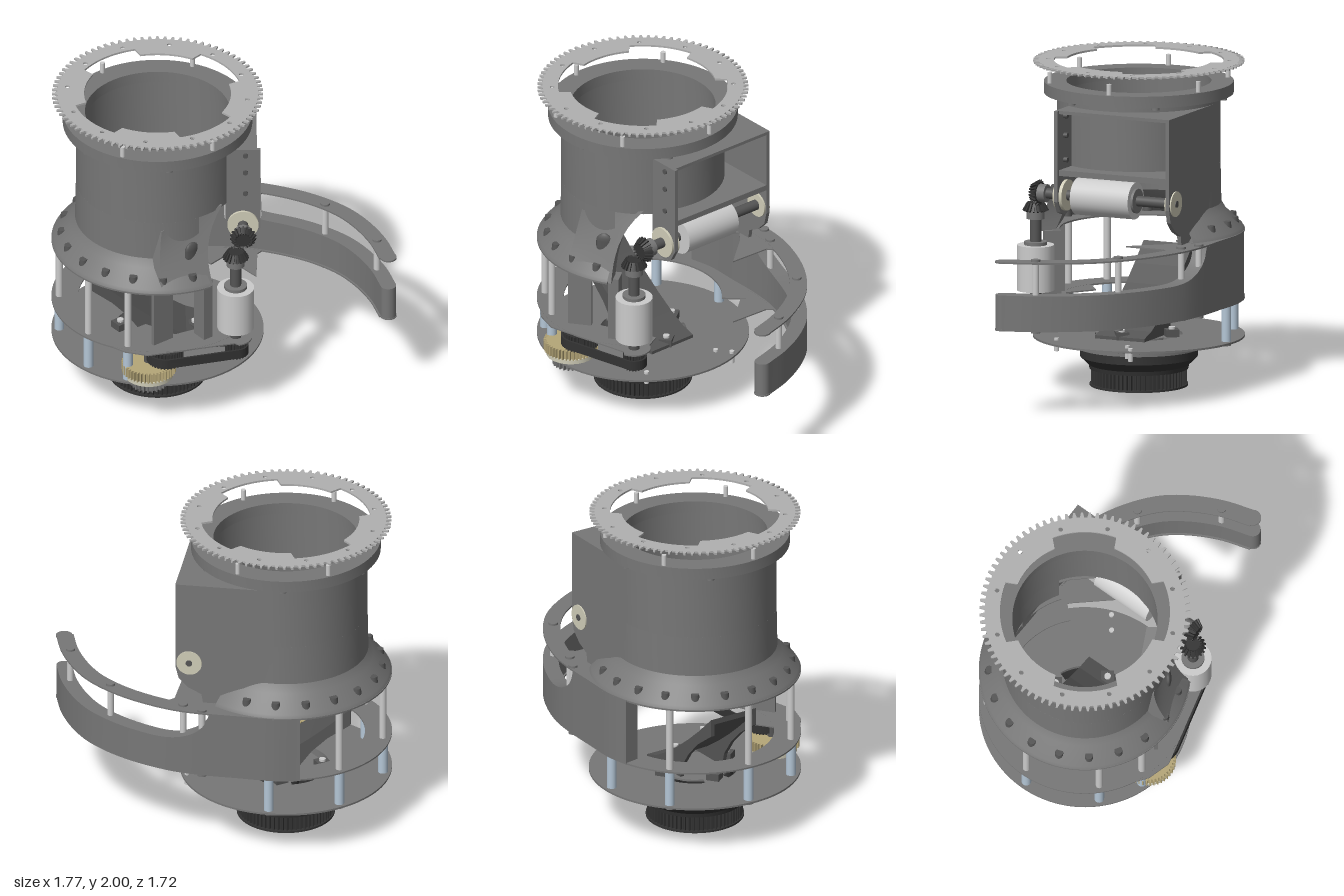
import * as THREE from 'three';
import { toCreasedNormals } from 'three/addons/utils/BufferGeometryUtils.js';

const CX = -0.245, CZ = -0.215; // axis of the drum
const mat = (c) => new THREE.MeshStandardMaterial({ color: c, side: THREE.DoubleSide });
const body = mat(0x777777), light = mat(0xcccccc), ringMat = mat(0xb0b0b0), dark = mat(0x555555);
const black = mat(0x333333), blue = mat(0xb4c6d6), gold = mat(0xb5a678), cream = mat(0xd0cdb8);

function add(parent, name, geo, m, x = 0, y = 0, z = 0) {
  const mesh = new THREE.Mesh(geo, m);
  mesh.name = name;
  mesh.position.set(x, y, z);
  parent.add(mesh);
  return mesh;
}
// upright cylinder between two heights
const rod = (p, name, m, x, z, r, y0, y1, r2 = r) =>
  add(p, name, new THREE.CylinderGeometry(r2, r, y1 - y0, 24), m, x, (y0 + y1) / 2, z);
// box given by its limits
const block = (p, name, m, x0, x1, y0, y1, z0, z1) =>
  add(p, name, new THREE.BoxGeometry(x1 - x0, y1 - y0, z1 - z0), m, (x0 + x1) / 2, (y0 + y1) / 2, (z0 + z1) / 2);
// horizontal plate from a shape drawn in (x, z)
function plate(p, name, shape, m, y0, y1, x = 0, z = 0) {
  const g = new THREE.ExtrudeGeometry(shape, { depth: y1 - y0, bevelEnabled: false, curveSegments: 64 });
  return add(p, name, toCreasedNormals(g.rotateX(Math.PI / 2), 0.5), m, x, y1, z);
}
// upright plate from a shape drawn in (z, y), its outer side at x
function wall(p, name, pts, m, x, t) {
  const s = new THREE.Shape(pts.map((q) => new THREE.Vector2(...q)));
  const g = new THREE.ExtrudeGeometry(s, { depth: t, bevelEnabled: false });
  return add(p, name, g.rotateY(-Math.PI / 2), m, x, 0, 0);
}
function lathe(p, name, pts, m, start = 0, len = Math.PI * 2) {
  const v = [...pts, pts[0]].map((q) => new THREE.Vector2(...q));
  return add(p, name, toCreasedNormals(new THREE.LatheGeometry(v, 80, start, len), 0.5), m, CX, 0, CZ);
}
const circle = (r, x = 0, y = 0) => new THREE.Path().absarc(x, y, r, 0, Math.PI * 2, true);
function disc(r, inner) {
  const s = new THREE.Shape().absarc(0, 0, r, 0, Math.PI * 2, false);
  if (inner) s.holes.push(circle(inner));
  return s;
}
function gearShape(r, n, depth, inner) {
  const pts = [];
  for (let i = 0; i < n; i++) {
    [[0, r - depth], [0.42, r - depth], [0.58, r], [0.84, r]].forEach(([f, rr]) => {
      const a = ((i + f) / n) * Math.PI * 2;
      pts.push(new THREE.Vector2(rr * Math.cos(a), rr * Math.sin(a)));
    });
  }
  const s = new THREE.Shape(pts);
  if (inner) s.holes.push(circle(inner));
  return s;
}
// cone gear pointing up
function bevelGear(p, x, y, z) {
  const g = new THREE.Group();
  g.name = 'bevelGear';
  rod(g, 'gearCone', black, 0, 0, 0.068, 0, 0.045, 0.042);
  rod(g, 'gearHub', body, 0, 0, 0.055, -0.05, 0);
  for (let i = 0; i < 18; i++) {
    const a = (i / 18) * Math.PI * 2;
    const t = add(g, 'gearTooth', new THREE.BoxGeometry(0.016, 0.055, 0.01), black, 0.06 * Math.cos(a), 0.024, -0.06 * Math.sin(a));
    t.rotation.set(0, a, 0.52);
  }
  g.position.set(x, y, z);
  p.add(g);
  return g;
}
const rad = (deg) => deg * Math.PI / 180;
const polar = (r, deg) => [CX + r * Math.cos(rad(deg)), CZ + r * Math.sin(rad(deg))];

export function createModel() {
  const root = new THREE.Group();

  // toothed top ring with four inner recesses
  const ring = gearShape(0.64, 84, 0.032);
  const inner = [];
  for (let i = 0; i < 180; i++) {
    const a = (i / 180) * Math.PI * 2, off = Math.abs(((i + 22.5) % 45) - 22.5) * 2;
    const r = off < 24 ? 0.515 : 0.445;
    inner.push(new THREE.Vector2(r * Math.cos(a), r * Math.sin(a)));
  }
  ring.holes.push(new THREE.Path(inner));
  for (let i = 0; i < 12; i++) ring.holes.push(circle(0.014, 0.55 * Math.cos(i * Math.PI / 6 + 0.26), 0.55 * Math.sin(i * Math.PI / 6 + 0.26)));
  plate(root, 'topGearRing', ring, ringMat, 1.988, 2, CX, CZ);

  // flange with pins and bolts
  lathe(root, 'flange', [[0.44, 1.8], [0.575, 1.8], [0.575, 1.872], [0.44, 1.872]], body);
  for (let i = 0; i < 6; i++) {
    const [x, z] = polar(0.55, 30 + i * 60), [bx, bz] = polar(0.54, 60 + i * 60);
    rod(root, 'flangePin', light, x, z, 0.015, 1.87, 1.94);
    rod(root, 'flangeBolt', body, bx, bz, 0.024, 1.782, 1.8);
  }

  // drum, open at the front corner below the housing
  lathe(root, 'drumUpper', [[0.455, 1.38], [0.495, 1.38], [0.495, 1.8], [0.455, 1.8]], body);
  lathe(root, 'drumLower', [[0.6, 0.965], [0.64, 0.965], [0.63, 0.985], [0.53, 1.08], [0.5, 1.13], [0.495, 1.38], [0.455, 1.38], [0.455, 1.12], [0.5, 1.06]], body, rad(110), rad(243));
  for (let i = 0; i < 13; i++) {
    const [x, z] = polar(0.58, 106 + i * 18);
    rod(root, 'skirtPocket', dark, x, z, 0.032, 0.97, 1.045, 0.024);
  }

  // curved arm, following its outer edge
  const edge = new THREE.CatmullRomCurve3([[-0.02, -0.82], [0.12, -0.75], [0.3, -0.61], [0.47, -0.475], [0.62, -0.325], [0.785, -0.06], [0.87, 0.2], [0.88, 0.4], [0.845, 0.63], [0.777, 0.825]]
    .map(([x, z]) => new THREE.Vector3(x, 0, z)));
  const armPoint = (u, w) => {
    const p = edge.getPoint(u), t = edge.getTangent(u);
    return new THREE.Vector2(p.x - t.z * w, p.z + t.x * w);
  };
  const armTop = (x) => (x < 0.44 ? 0.955 : x > 0.69 ? 0.76 : 0.955 - 0.195 * Math.sqrt(1 - ((0.69 - x) / 0.25) ** 2));
  const armGeo = new THREE.BoxGeometry(1, 1, 1, 90, 1, 1), pos = armGeo.attributes.position;
  for (let i = 0; i < pos.count; i++) {
    const u = pos.getX(i) + 0.5, q = armPoint(u, (pos.getZ(i) + 0.5) * 0.095);
    pos.setXYZ(i, q.x, pos.getY(i) < 0 ? 0.55 : armTop(edge.getPoint(u).x), q.y);
  }
  add(root, 'armWall', toCreasedNormals(armGeo, 0.5), body);
  const tip = armPoint(1, 0.0475);
  rod(root, 'armTip', body, tip.x, tip.y, 0.0475, 0.55, 0.76);
  const us = Array.from({ length: 41 }, (_, i) => i / 40);
  const armShape = new THREE.Shape([...us.map((u) => armPoint(u, 0)), ...us.reverse().map((u) => armPoint(u, 0.105))]);
  const corner = new THREE.Shape().moveTo(0.25, -0.6).lineTo(0.45, -0.45).lineTo(0.62, -0.24).lineTo(0.52, -0.22).lineTo(0.36, -0.02).lineTo(0.34, -0.3);
  // ring plates, left open at the front corner
  [[0.54, 80, 350], [0.955, 97, 343]].forEach(([y, a0, a1]) => {
    plate(root, 'armPlate', armShape, body, y, y + 0.01);
    rod(root, 'armPlateTip', body, tip.x, tip.y, 0.05, y, y + 0.01);
    plate(root, 'cornerPlate', corner, body, y + 0.001, y + 0.009);
    const arc = new THREE.Shape().absarc(0, 0, 0.643, rad(a0), rad(a1), false).absarc(0, 0, 0.48, rad(a1), rad(a0), true);
    plate(root, 'ringPlate', arc, body, y, y + 0.01, CX, CZ);
  });
  [[0.455, -0.45], [0.52, -0.33], [0.785, 0.11], [0.79, 0.62]].forEach(([x, z]) => {
    rod(root, 'armStud', light, x, z, 0.02, 0.75, 0.955);
    rod(root, 'armBolt', body, x, z, 0.028, 0.965, 0.978);
    rod(root, 'armBolt', body, x, z, 0.028, 0.525, 0.54);
  });

  // base plate with arc slots
  const base = disc(0.643);
  for (let i = 0; i < 4; i++) {
    const a = rad(56 + i * 90), b = a + 0.95;
    base.holes.push(new THREE.Path().absarc(0, 0, 0.265, a, b, false).absarc(0, 0, 0.21, b, a, true));
  }
  plate(root, 'basePlate', base, body, 0.303, 0.315, CX, CZ);
  for (let i = 0; i < 4; i++) {
    const [x, z] = polar(0.225, 38 + i * 90);
    block(root, 'baseBlock', dark, x - 0.04, x + 0.04, 0.315, 0.36, z - 0.04, z + 0.04);
    rod(root, 'baseBolt', light, x, z, 0.02, 0.36, 0.375);
    rod(root, 'lowerTube', black, x, z, 0.04, 0.03, 0.303);
  }

  // spacers between the plates
  [172, 145, 217, 265, 308].forEach((deg) => {
    const [x, z] = polar(0.595, deg);
    if (deg !== 308) rod(root, 'upperSpacer', light, x, z, 0.022, 0.55, 0.955);
    rod(root, 'lowerSpacer', blue, x, z, 0.03, 0.315, 0.54);
    rod(root, 'spacerBolt', body, x, z, 0.028, 0.288, 0.303);
  });
  [[0.245, -0.05], [0.345, -0.05], [-0.1, 0.32]].forEach(([x, z]) => rod(root, 'baseScrew', light, x, z, 0.015, 0.25, 0.33));

  // slew gear and black hollow pulley below the base
  plate(root, 'slewGear', gearShape(0.465, 90, 0.02, 0.28), body, 0.268, 0.292, CX, CZ);
  lathe(root, 'lowerHub', [[0.28, 0.235], [0.38, 0.235], [0.38, 0.303], [0.28, 0.303]], body);
  lathe(root, 'lowerCollar', [[0.25, 0.105], [0.3, 0.105], [0.305, 0.13], [0.357, 0.18], [0.357, 0.24], [0.28, 0.24], [0.25, 0.14]], black);
  plate(root, 'lowerPulley', gearShape(0.29, 64, 0.014, 0.25), black, 0.012, 0.105, CX, CZ);
  plate(root, 'lowerRim', disc(0.298, 0.25), black, 0, 0.012, CX, CZ);

  // housing, motor and shaft, in a frame turned towards the front corner
  const housing = new THREE.Group();
  housing.name = 'motorHousing';
  housing.position.set(CX, 0, CZ);
  housing.rotation.y = Math.atan2(0.8, 0.6);
  root.add(housing);
  wall(housing, 'tangentWall', [[0, 0.96], [0.43, 0.96], [0.44, 1.02], [0.52, 1.06], [0.58, 1.12], [0.6, 1.2], [0.6, 1.76], [0, 1.76]], body, 0.497, 0.025);
  wall(housing, 'endWall', [[0.41, 1.76], [0.41, 1.2], [0.45, 1.13], [0.515, 1.11], [0.58, 1.13], [0.62, 1.2], [0.62, 1.76]], body, -0.245, 0.025);
  const shelf = new THREE.Shape();
  shelf.moveTo(-0.255, 0.6).lineTo(0.495, 0.6).lineTo(0.495, 0).absarc(0, 0, 0.48, 0, 2.13, false);
  plate(housing, 'housingFloor', shelf, body, 1.36, 1.395);
  plate(housing, 'housingTop', shelf, body, 1.74, 1.76);
  const lying = (name, m, r, x0, x1) => {
    const c = add(housing, name, new THREE.CylinderGeometry(r, r, x1 - x0, 32), m, (x0 + x1) / 2, 1.23, 0.515);
    c.rotation.z = Math.PI / 2;
  };
  lying('upperMotor', light, 0.113, -0.16, 0.23);
  lying('upperMotorCap', body, 0.075, 0.23, 0.245);
  lying('upperShaft', dark, 0.032, -0.42, 0.5);
  lying('bearing', cream, 0.095, -0.285, -0.225);
  lying('bearing', cream, 0.078, 0.46, 0.505);
  lying('bearingBore', dark, 0.02, 0.5, 0.51);
  [1.45, 1.6, 1.72].forEach((y) => {
    const b = add(housing, 'wallBolt', new THREE.CylinderGeometry(0.016, 0.016, 0.06, 12), dark, -0.25, y, 0.53);
    b.rotation.z = Math.PI / 2;
  });
  bevelGear(housing, -0.415, 1.23, 0.515).rotation.z = Math.PI / 2;

  // upright motor with its shaft and gear
  const MX = -0.15, MZ = 0.44;
  rod(root, 'lowerMotor', light, MX, MZ, 0.113, 0.62, 0.9);
  rod(root, 'lowerMotorCap', body, MX, MZ, 0.07, 0.9, 0.92);
  rod(root, 'lowerShaft', dark, MX, MZ, 0.034, 0.42, 1.14);
  bevelGear(root, MX, 1.11, MZ);
  const tab = new THREE.Shape().moveTo(-0.84, 0.0).lineTo(-0.79, 0.17).lineTo(-0.7, 0.29).lineTo(-0.2, 0.5);
  tab.absarc(MX, MZ, 0.1, 2, -0.6, true).lineTo(-0.05, 0.28).lineTo(-0.43, 0.2).lineTo(-0.5, 0);
  plate(root, 'motorTab', tab, body, 0.541, 0.549);

  // belt drive and reduction gear
  const PX = -0.53, PZ = 0.24, GX = -0.605, GZ = 0.17;
  plate(root, 'smallPulley', gearShape(0.066, 20, 0.01), black, 0.42, 0.52, MX, MZ);
  plate(root, 'largePulley', gearShape(0.108, 32, 0.01), black, 0.42, 0.52, PX, PZ);
  const a = Math.atan2(MZ - PZ, MX - PX);
  const loop = (C, e) => new C().absarc(MX, MZ, 0.066 + e, a - 1.5, a + 1.5, false).absarc(PX, PZ, 0.106 + e, a + 1.5, a - 1.5 + Math.PI * 2, false);
  const belt = loop(THREE.Shape, 0.012);
  belt.holes.push(loop(THREE.Path, 0));
  plate(root, 'belt', belt, black, 0.435, 0.495);
  plate(root, 'reductionGear', gearShape(0.165, 44, 0.018), gold, 0.35, 0.412, GX, GZ);
  rod(root, 'gearBearing', cream, GX, GZ, 0.15, 0.318, 0.345);
  rod(root, 'gearShaft', dark, GX, GZ, 0.03, 0.25, 0.54);
  plate(root, 'slewPinion', gearShape(0.11, 24, 0.018), body, 0.25, 0.29, GX, GZ);

  // curved chute rising to the back of the drum: a plank with ribs beneath
  const chute = new THREE.Group();
  chute.name = 'chute';
  chute.position.set(-0.025, 0, -0.055);
  chute.rotation.y = Math.atan2(-0.81, -0.59);
  root.add(chute);
  const slope = [[0, 0.335], [0.1, 0.365], [0.2, 0.42], [0.32, 0.5], [0.44, 0.59], [0.56, 0.69], [0.69, 0.81]];
  const under = slope.map(([z, y]) => [z, Math.max(0.315, y - 0.035)]).reverse();
  wall(chute, 'chutePlank', [...slope, ...under], dark, 0.165, 0.33);
  [0.165, -0.14].forEach((x) => wall(chute, 'chuteRib', [...slope, [0.69, 0.7], [0.55, 0.6], [0.45, 0.5], [0.38, 0.4], [0.36, 0.315], [0, 0.315]], dark, x, 0.025));

  // bracket leaning from the skirt to the drum, with its legs
  const gusset = new THREE.BoxGeometry(1, 1, 1, 8, 8, 1), gp = gusset.attributes.position;
  for (let i = 0; i < gp.count; i++) {
    const s = gp.getX(i) + 0.5, v = gp.getY(i) + 0.5;
    const x = (-0.61 + 0.08 * v) * (1 - s) + (-0.3 + 0.17 * v ** 2.6) * s;
    const front = (0.31 + 0.1 * s) * (1 - v) + (0.2 + 0.08 * s) * v - 0.08 * v * (1 - v);
    gp.setXYZ(i, x, 0.955 + v * (0.37 + 0.08 * s), front + (gp.getZ(i) - 0.5) * 0.12);
  }
  add(root, 'bracket', toCreasedNormals(gusset, 0.6), body);
  const slot = add(root, 'bracketSlot', new THREE.CapsuleGeometry(0.05, 0.04, 4, 16), dark, -0.37, 1.16, 0.288);
  slot.scale.z = 0.4;
  block(root, 'bracketLeg', body, -0.61, -0.465, 0.55, 0.96, 0.2, 0.225);
  block(root, 'bracketLeg', body, -0.33, -0.265, 0.55, 0.96, 0.26, 0.36);
  return root;
}
